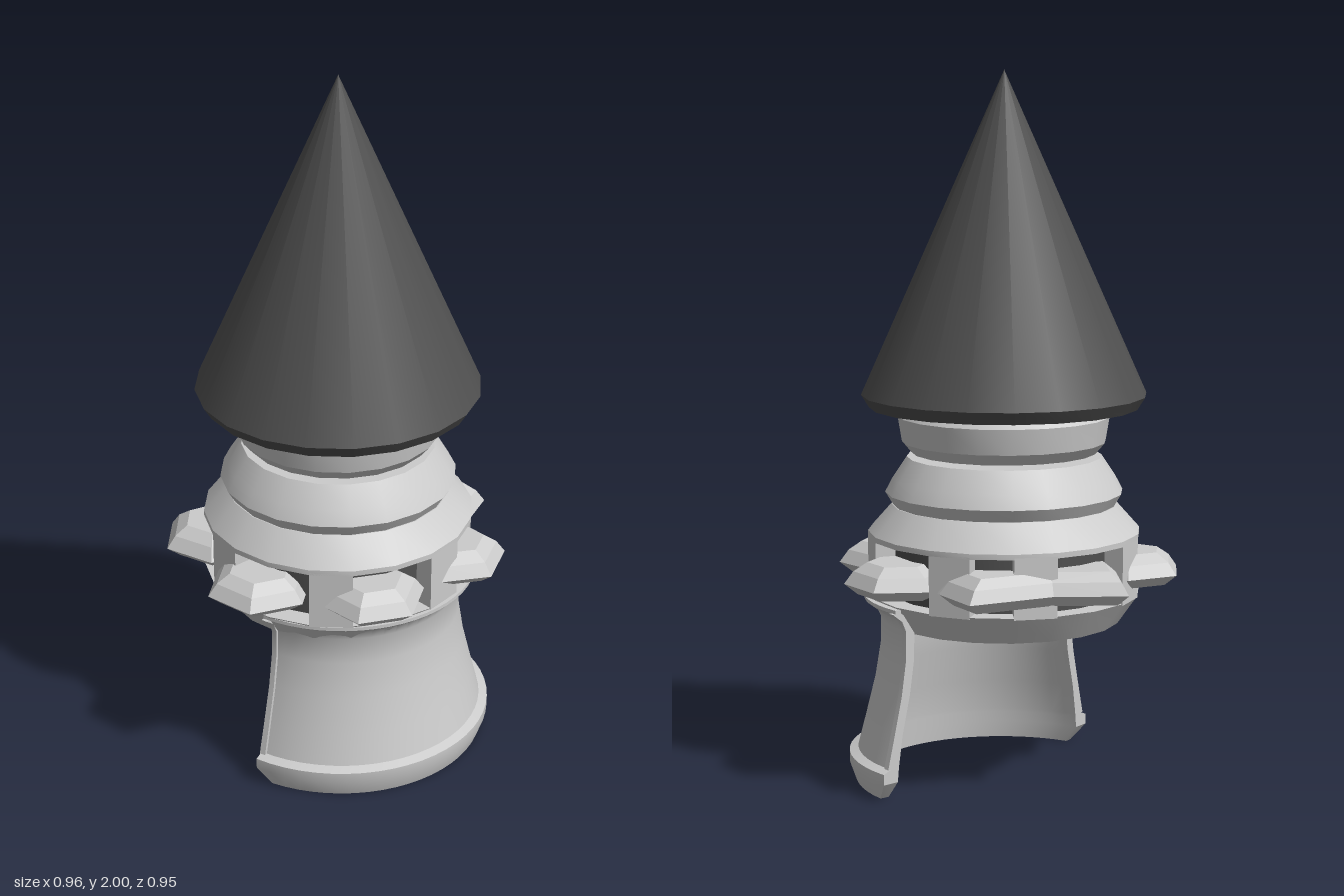
import * as THREE from 'three';
import { toCreasedNormals } from 'three/addons/utils/BufferGeometryUtils.js';
import { ConvexGeometry } from 'three/addons/geometries/ConvexGeometry.js';

const grey = new THREE.MeshStandardMaterial({ color: 0xcccccc, side: THREE.DoubleSide });
const dark = new THREE.MeshStandardMaterial({ color: 0x505050 });
const SIDES = 20;
const RAD = Math.PI / 180;

function mesh(name, geometry, material = grey) {
  const m = new THREE.Mesh(geometry, material);
  m.name = name;
  return m;
}

// Turned part from [radius, y] pairs, listed bottom to top
function turned(name, profile, material) {
  const points = profile.map(([r, y]) => new THREE.Vector2(r, y));
  const g = new THREE.LatheGeometry(points, SIDES);
  return mesh(name, toCreasedNormals(g, 28 * RAD), material);
}

// Closed wall swept through an arc; trim(y) shortens both ends, in degrees
function arcWall(name, outer, inner, from, to, steps, trim = () => 0) {
  const loop = [...outer, ...inner.slice().reverse()];
  const n = loop.length;
  const pos = [];
  const index = [];
  for (let i = 0; i <= steps; i++) {
    for (const [r, y] of loop) {
      const t = trim(y);
      const a = (from + t + (to - from - 2 * t) * i / steps) * RAD;
      pos.push(r * Math.cos(a), y, r * Math.sin(a));
    }
  }
  for (let i = 0; i < steps; i++) {
    for (let j = 0; j < n; j++) {
      const a = i * n + j, b = i * n + (j + 1) % n;
      index.push(a, b, a + n, b, b + n, a + n);
    }
  }
  const e = steps * n;
  for (let k = 0; k < outer.length - 1; k++) {
    const a = k, b = k + 1, c = n - 1 - k, d = n - 2 - k;
    index.push(a, c, b, b, c, d, e + a, e + b, e + c, e + b, e + d, e + c);
  }
  const g = new THREE.BufferGeometry();
  g.setAttribute('position', new THREE.Float32BufferAttribute(pos, 3));
  g.setIndex(index);
  return mesh(name, toCreasedNormals(g, 28 * RAD));
}

// Bevelled stone: [x, z] outline at the girdle, drawn in above and below
function stone(name, outline) {
  const cx = outline.reduce((s, p) => s + p[0], 0) / outline.length;
  const cz = outline.reduce((s, p) => s + p[1], 0) / outline.length;
  const points = [];
  for (const [y, s] of [[0.57, 0.75], [0.6, 1], [0.635, 0.83], [0.66, 0.58]]) {
    for (const [x, z] of outline) {
      points.push(new THREE.Vector3(cx + (x - cx) * s, y, cz + (z - cz) * s));
    }
  }
  return mesh(name, new ConvexGeometry(points));
}

function hexagon(angle, distance, radius) {
  const a = angle * RAD;
  return Array.from({ length: 6 }, (_, i) => {
    const b = a + (30 + 60 * i) * RAD;
    return [
      -0.01 + distance * Math.cos(a) + radius * Math.cos(b),
      distance * Math.sin(a) + radius * Math.sin(b),
    ];
  });
}

export function createModel() {
  const model = new THREE.Group();

  // Everything turned about the main axis
  const tower = new THREE.Group();
  tower.name = 'tower';
  tower.position.x = -0.01;
  tower.add(
    turned('pointedRoof', [[0, 1.065], [0.38, 1.065], [0.402, 1.1], [0, 2]], dark),
    turned('upperRing', [[0, 0.937], [0.262, 0.937], [0.288, 0.968], [0.3, 1.04], [0.275, 1.07], [0, 1.07]]),
    turned('middleRing', [[0, 0.785], [0.312, 0.785], [0.336, 0.825], [0.315, 0.865], [0.275, 0.925], [0, 0.925]]),
    turned('collarTop', [[0, 0.7], [0.385, 0.7], [0.385, 0.715], [0.318, 0.79], [0, 0.79]]),
    turned('collarBase', [[0.328, 0.458], [0.385, 0.54], [0.3, 0.54]]),
    turned('core', [[0, 0.459], [0.327, 0.459], [0.327, 0.7]], dark),
  );

  // Posts between the openings, one facet wide each
  for (const k of [0, 3, 6, 9, 12, 15, 17]) {
    tower.add(arcWall('post', [[0.385, 0.535], [0.385, 0.705]], [[0.32, 0.535], [0.32, 0.705]], k * 18, k * 18 + 18, 1));
  }
  model.add(tower);

  // Six-sided stones around the collar
  const ring = [[-13, 0.352], [41.5, 0.342], [98, 0.332], [153, 0.345], [206, 0.355]];
  for (const [angle, distance] of ring) model.add(stone('stone', hexagon(angle, distance, 0.153)));

  // Joined pair of stones at the back
  model.add(
    stone('backStone', [[-0.25, -0.24], [-0.235, -0.31], [-0.18, -0.475], [-0.05, -0.425], [0.05, -0.39], [0.04, -0.22]]),
    stone('backStone', [[0.28, -0.2], [0.285, -0.26], [0.26, -0.425], [0.1, -0.405], [-0.05, -0.4], [-0.03, -0.22]]),
  );

  // Curved shield standing under the collar, open at the back
  const outer = [
    [0.415, 0], [0.433, 0.05], [0.433, 0.08], [0.408, 0.09], [0.385, 0.18], [0.358, 0.29],
    [0.342, 0.39], [0.341, 0.47], [0.355, 0.5], [0.388, 0.525], [0.388, 0.535],
  ];
  const inner = outer.map(([r, y]) => [Math.min(r, 0.408 - 0.1 * Math.min(y, 0.09)) - 0.02, y]);
  const trim = (y) => (y < 0.05 ? (0.05 - y) * 110 : 0);
  model.add(arcWall('shield', outer, inner, -20, 148, 28, trim));

  // Raised borders along both upright edges of the shield
  const rim = outer.slice(3, 10);
  const rimOuter = rim.map(([r, y]) => [r + 0.009, y]);
  const rimInner = rim.map(([r, y]) => [r - 0.01, y]);
  for (const a of [-20, 145.5]) model.add(arcWall('shieldBorder', rimOuter, rimInner, a, a + 2.5, 1));

  return model;
}
